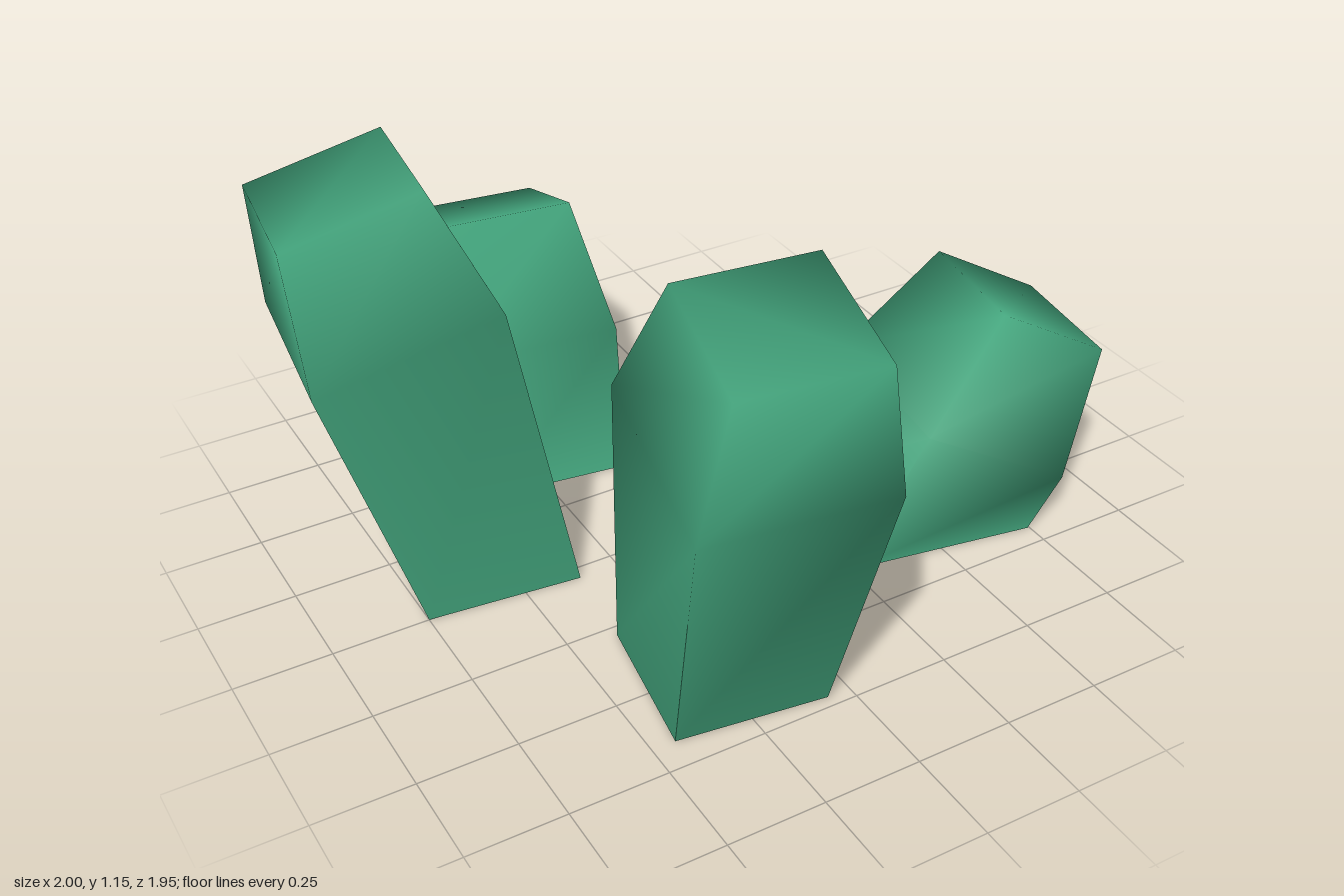
import * as THREE from 'three';

// One leaning stone: three four-cornered rings (base, shoulder, top).
// Corners run inner, outer, outer, inner; each ring gives its inner and outer height.
function stoneGeometry(rings) {
  const pos = [];
  const index = [];
  const point = (r, i) => {
    const { corners, inner, outer } = rings[r];
    const [x, z] = corners[i % 4];
    pos.push(x, i % 4 === 1 || i % 4 === 2 ? outer : inner, z);
  };
  const quad = (a, b, c, d) => index.push(a, b, c, a, c, d);

  // shoulder corners 0-3 and top corners 4-7 are shared, so the head is smooth
  for (let i = 0; i < 4; i++) point(1, i);
  for (let i = 0; i < 4; i++) point(2, i);
  for (let i = 0; i < 4; i++) {
    const j = (i + 1) % 4;
    // base corners are split per side, so the lower edges stay sharp
    const a = pos.length / 3;
    point(0, i);
    point(0, i + 1);
    quad(a, a + 1, j, i);
    quad(i, j, 4 + j, 4 + i);
  }
  quad(4, 5, 6, 7);

  const g = new THREE.BufferGeometry();
  g.setAttribute('position', new THREE.Float32BufferAttribute(pos, 3));
  g.setIndex(index);
  g.computeVertexNormals();
  return g;
}

export function createModel() {
  const group = new THREE.Group();
  // open underneath, so the inside shows
  const green = new THREE.MeshStandardMaterial({ color: 0x43a57d, side: THREE.DoubleSide });
  green.name = 'green';

  const add = (name, geometry) => {
    const mesh = new THREE.Mesh(geometry, green);
    mesh.name = name;
    group.add(mesh);
    return mesh;
  };

  // Tall stones: the left-hand one is the front one turned a quarter
  const tall = stoneGeometry([
    { corners: [[-0.38, 0.28], [-0.44, 0.67], [-0.06, 0.72], [-0.02, 0.325]], inner: 0, outer: 0 },
    { corners: [[-0.46, 0.44], [-0.515, 0.89], [-0.05, 0.95], [0.01, 0.5]], inner: 0.84, outer: 0.72 },
    { corners: [[-0.41, 0.6], [-0.455, 0.925], [-0.11, 0.97], [-0.07, 0.64]], inner: 1.155, outer: 1.07 },
  ]);
  add('frontTallStone', tall);
  const side = add('sideTallStone', tall);
  side.rotation.y = -Math.PI / 2;
  side.position.set(-0.03, 0, 0.06);

  // Short stones, leaning further outward
  add('sideShortStone', stoneGeometry([
    { corners: [[0.25, 0.355], [0.745, 0.44], [0.8, -0.01], [0.3, -0.065]], inner: 0, outer: 0 },
    { corners: [[0.43, 0.405], [0.83, 0.455], [0.89, -0.015], [0.49, -0.065]], inner: 0.37, outer: 0.14 },
    { corners: [[0.66, 0.37], [0.955, 0.41], [1, 0.065], [0.71, 0.03]], inner: 0.635, outer: 0.465 },
  ]));
  add('backShortStone', stoneGeometry([
    { corners: [[-0.025, -0.33], [0.035, -0.78], [-0.34, -0.83], [-0.395, -0.38]], inner: 0, outer: 0 },
    { corners: [[0.01, -0.435], [0.065, -0.87], [-0.405, -0.935], [-0.46, -0.485]], inner: 0.37, outer: 0.22 },
    { corners: [[-0.03, -0.61], [0.005, -0.93], [-0.335, -0.975], [-0.375, -0.65]], inner: 0.68, outer: 0.57 },
  ]));

  return group;
}
